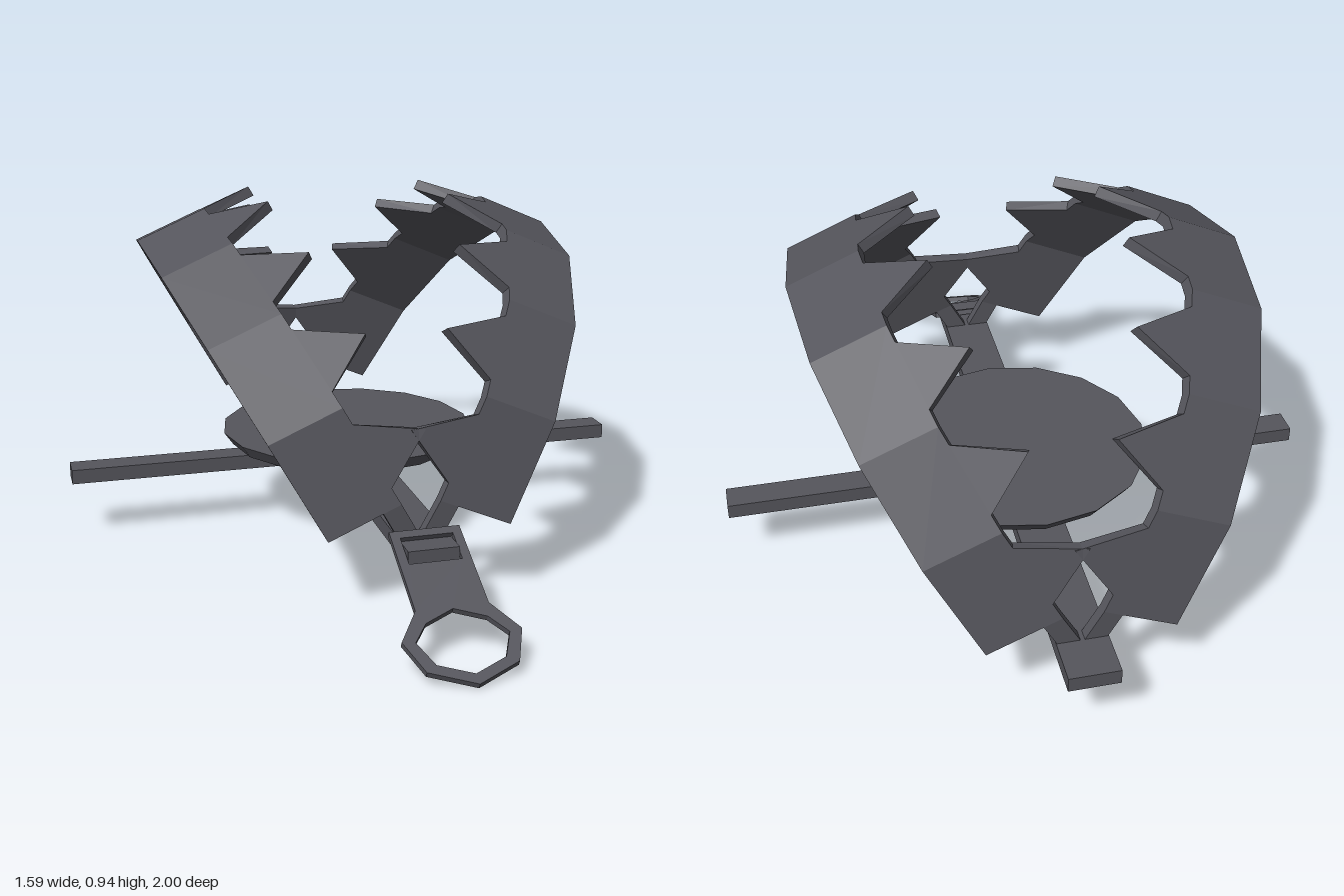
import * as THREE from 'three';

const metal = new THREE.MeshStandardMaterial({ color: 0x55555c, flatShading: true, side: THREE.DoubleSide });
const MID = -0.165; // z of the trap's centre

function add(parent, name, geometry, x = 0, y = 0, z = 0) {
  const mesh = new THREE.Mesh(geometry, metal);
  mesh.name = name;
  mesh.position.set(x, y, z);
  parent.add(mesh);
  return mesh;
}

// Capped solid through rings of equal point count, wound outwards
function loft(rings) {
  const n = rings[0].length, tris = [];
  for (let i = 0; i < rings.length - 1; i++) {
    for (let j = 0; j < n; j++) {
      const k = (j + 1) % n, A = rings[i], B = rings[i + 1];
      tris.push([A[j], A[k], B[k]], [A[j], B[k], B[j]]);
    }
  }
  const first = rings[0], last = rings[rings.length - 1];
  for (let j = 1; j < n - 1; j++) {
    tris.push([first[0], first[j + 1], first[j]], [last[0], last[j], last[j + 1]]);
  }
  const origin = first[0], cross = new THREE.Vector3();
  let volume = 0;
  for (const [a, b, c] of tris) {
    cross.crossVectors(b.clone().sub(origin), c.clone().sub(origin));
    volume += a.clone().sub(origin).dot(cross);
  }
  const points = tris.flatMap(([a, b, c]) => (volume < 0 ? [a, c, b] : [a, b, c]));
  const geometry = new THREE.BufferGeometry().setFromPoints(points);
  geometry.computeVertexNormals();
  return geometry;
}

// One leaning half-round jaw; side is +1 for left, -1 for right
function makeJaw(side) {
  const jaw = new THREE.Group();
  jaw.name = side > 0 ? 'leftJaw' : 'rightJaw';
  const OUT = 0.72, IN = 0.69, SEGMENTS = 8;
  // a: angle index along the arch, r: radius, w: position across the band
  const at = (a, r, w, drop = 0) => {
    const t = -Math.PI / 2 + (a * Math.PI) / SEGMENTS;
    const u = r * Math.cos(t) - drop;
    return new THREE.Vector3(
      side * (0.235 + 0.486 * u - 0.185 * w), 0.2 + 0.874 * u + 0.08 * w, MID + r * Math.sin(t));
  };

  const rings = [];
  for (let a = 0; a <= SEGMENTS; a++) {
    rings.push([at(a, OUT, 0), at(a, OUT, 1), at(a, IN, 1), at(a, IN, 0)]);
  }
  add(jaw, 'jawBand', loft(rings));

  // One pointed tooth on each straight run of the band
  for (let a = 0; a < SEGMENTS; a++) {
    const face = (r) => {
      const along = (f, w) => at(a, r, w).lerp(at(a + 1, r, w), f);
      return [along(0.17, 1), along(0.5, 1.73), along(0.83, 1)];
    };
    add(jaw, 'tooth', loft([face(OUT), face(IN)]));
  }

  // Narrow tabs reaching down to the base bar
  for (const a of [0, SEGMENTS]) {
    const face = (r) => [at(a, r, 0.75), at(a, r, 1), at(a, r, 1, 0.095), at(a, r, 0.75, 0.07)];
    add(jaw, 'hingeTab', loft([face(OUT), face(IN)]));
  }
  return jaw;
}

// Flat pull tab with a slot and a ring, sloping down to the ground
function makePullRing() {
  const k = 1.115; // length along the slope per unit of z
  const pts = (list) => list.map(([x, z]) => new THREE.Vector2(x, (z - 0.58) * k));
  const shape = new THREE.Shape(pts([
    [-0.09, 0.58], [0.09, 0.58], [0.09, 0.80], [0.145, 0.875], [0.11, 0.955], [0, 0.998],
    [-0.11, 0.955], [-0.145, 0.875], [-0.09, 0.80]]));
  shape.holes.push(
    new THREE.Path(pts([[-0.067, 0.6], [-0.067, 0.675], [0.067, 0.675], [0.067, 0.6]])),
    new THREE.Path(pts([[0, 0.805], [-0.075, 0.835], [-0.113, 0.88], [-0.083, 0.94],
      [0, 0.972], [0.083, 0.94], [0.113, 0.88], [0.075, 0.835]])));
  const geometry = new THREE.ExtrudeGeometry(shape, { depth: 0.015, bevelEnabled: false });
  geometry.applyMatrix4(new THREE.Matrix4().makeBasis(
    new THREE.Vector3(1, 0, 0),
    new THREE.Vector3(0, -0.443, 0.896),
    new THREE.Vector3(0, -0.896, -0.443)));
  return geometry;
}

export function createModel() {
  const model = new THREE.Group();
  model.name = 'jawTrap';

  // Crossed base bars
  add(model, 'longBar', new THREE.BoxGeometry(0.13, 0.04, 1.66), 0, 0.18, -0.17);
  add(model, 'crossBar', new THREE.BoxGeometry(1.59, 0.04, 0.075), 0, 0.18, -0.172);

  // Shallow trigger plate
  const profile = [[0, 0.2], [0.1, 0.2], [0.335, 0.225], [0.36, 0.26], [0, 0.262]];
  add(model, 'triggerPlate',
    new THREE.LatheGeometry(profile.map(([x, y]) => new THREE.Vector2(x, y)), 16), 0, 0, -0.172);

  model.add(makeJaw(1), makeJaw(-1));
  add(model, 'pullRing', makePullRing(), 0, 0.222, 0.58);
  return model;
}
